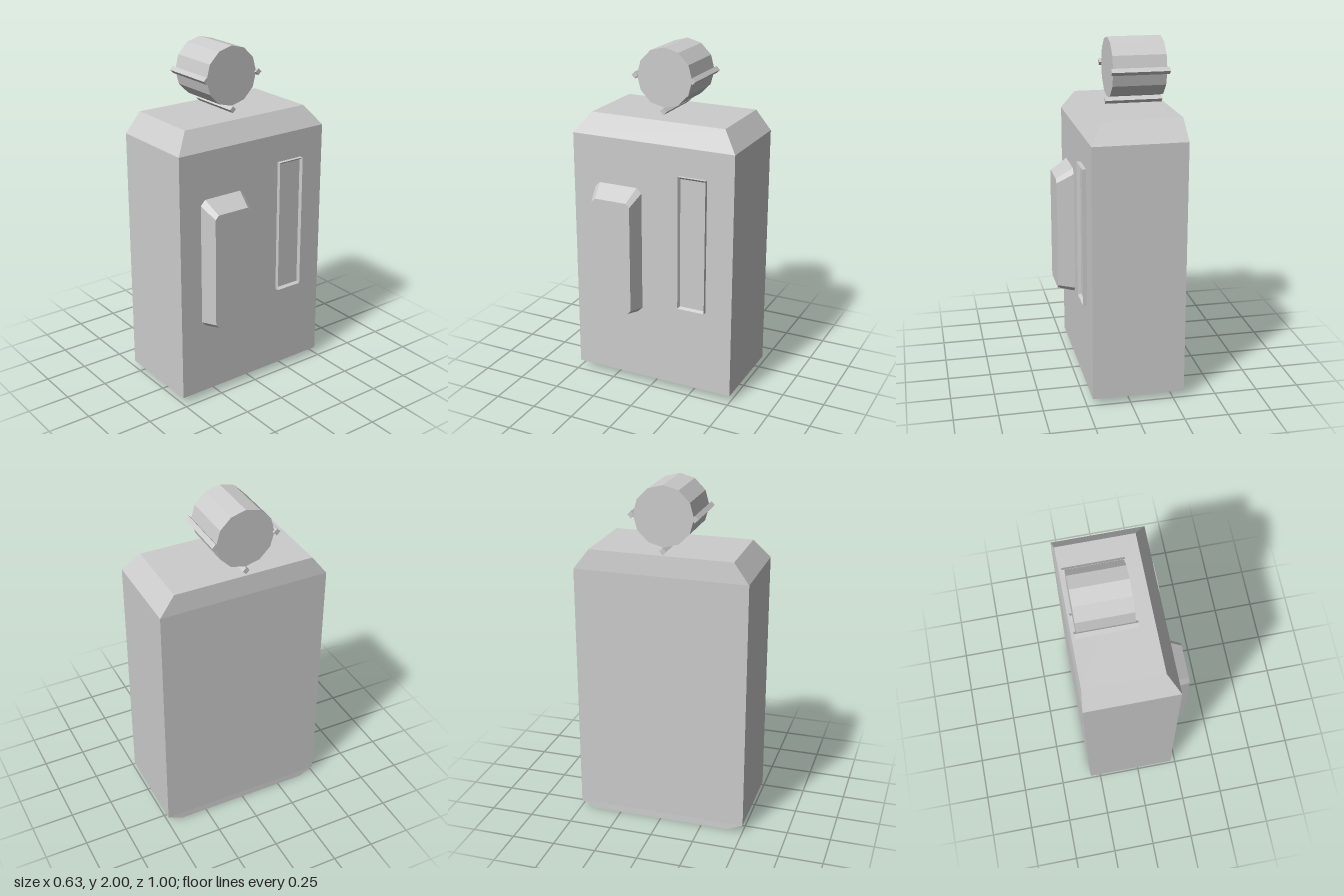
import * as THREE from 'three';

// Skin a stack of rings (counter-clockwise seen from the last ring's end) and cap both ends.
function loft(rings) {
  const pos = [];
  const n = rings[0].length;
  const tri = (a, b, c) => pos.push(...a, ...b, ...c);
  for (let r = 0; r < rings.length - 1; r++) {
    const a = rings[r], b = rings[r + 1];
    for (let i = 0; i < n; i++) {
      const j = (i + 1) % n;
      tri(a[i], a[j], b[j]);
      tri(a[i], b[j], b[i]);
    }
  }
  const first = rings[0], last = rings[rings.length - 1];
  for (let i = 1; i < n - 1; i++) {
    tri(first[0], first[i + 1], first[i]);
    tri(last[0], last[i], last[i + 1]);
  }
  const g = new THREE.BufferGeometry();
  g.setAttribute('position', new THREE.Float32BufferAttribute(pos, 3));
  g.computeVertexNormals();
  return g;
}

// Horizontal rectangle at height y
const level = (y, x0, x1, z) => [[x0, y, z], [x1, y, z], [x1, y, -z], [x0, y, -z]];

// Upright rectangle at depth x, with corners cut by c
function plate(x, z0, z1, y0, y1, c = 0) {
  if (!c) return [[x, y0, z1], [x, y0, z0], [x, y1, z0], [x, y1, z1]];
  return [
    [x, y0, z1 - c], [x, y0, z0 + c], [x, y0 + c, z0], [x, y1 - c, z0],
    [x, y1, z0 + c], [x, y1, z1 - c], [x, y1 - c, z1], [x, y0 + c, z1],
  ];
}

export function createModel() {
  const model = new THREE.Group();
  model.name = 'tankPack';
  const grey = new THREE.MeshStandardMaterial({ color: 0xcccccc, flatShading: true });
  grey.name = 'light grey';

  const add = (name, geometry, parent = model) => {
    const mesh = new THREE.Mesh(geometry, grey);
    mesh.name = name;
    parent.add(mesh);
    return mesh;
  };

  // Main case with sloped shoulders and a bevelled base
  add('body', loft([
    level(0, -0.315, 0.145, 0.41),
    level(0.04, -0.313, 0.217, 0.498),
    level(1.505, -0.313, 0.217, 0.498),
    level(1.62, -0.3, 0.148, 0.41),
  ]));

  // Tapered block on the side
  add('sideBlock', loft([
    plate(0.21, 0.063, 0.363, 0.46, 1.235, 0.03),
    plate(0.315, 0.092, 0.333, 0.482, 1.165, 0.022),
  ]));

  // Shallow tray with sloping inner walls
  add('sideTray', loft([
    plate(0.21, -0.338, -0.172, 0.545, 1.342),
    plate(0.24, -0.338, -0.172, 0.545, 1.342),
    plate(0.222, -0.33, -0.18, 0.555, 1.328),
  ]));

  // Drum lying across the top with three small rods around it
  const roller = new THREE.Group();
  roller.name = 'roller';
  roller.position.set(-0.123, 1.83, 0.0125);
  model.add(roller);
  const rod = (radius, length, sides) =>
    new THREE.CylinderGeometry(radius, radius, length, sides).rotateZ(Math.PI / 2);
  add('drum', rod(0.17, 0.305, 12), roller);
  const spots = [[0, 0.178], [0, -0.178], [-0.19, 0]];
  spots.forEach(([y, z], i) => {
    add(`rod${i + 1}`, rod(0.02, 0.33, 4), roller).position.set(0, y, z);
  });

  return model;
}
